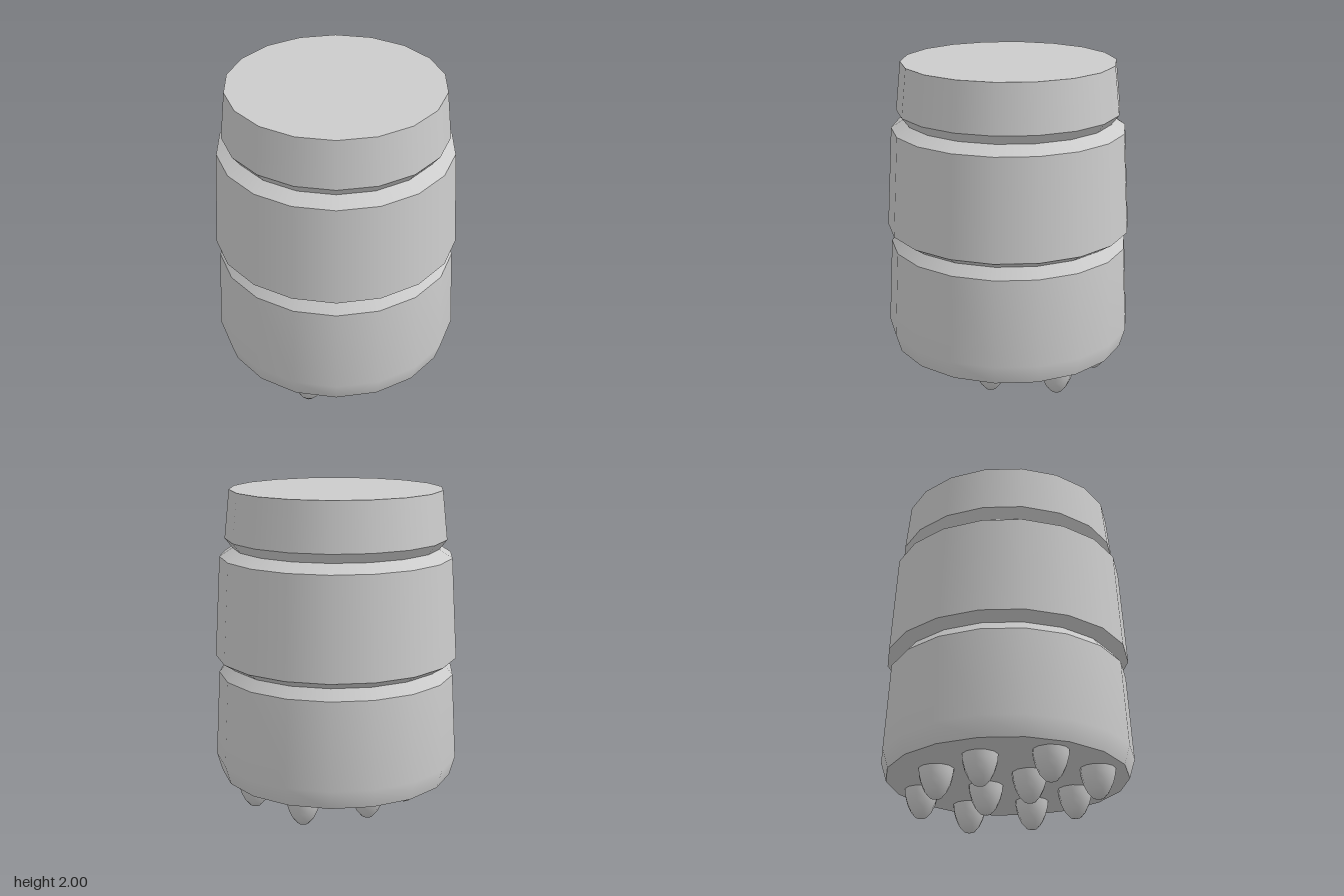
import * as THREE from 'three';

const SIDES = 18;

export function createModel() {
  const model = new THREE.Group();
  const grey = new THREE.MeshStandardMaterial({ color: 0xcccccc });

  // Each ring is its own lathe, so edges between rings stay sharp
  const ring = (parent, name, ...profile) => {
    const points = profile.map(([r, y]) => new THREE.Vector2(r, y));
    const mesh = new THREE.Mesh(new THREE.LatheGeometry(points, SIDES), grey);
    mesh.name = name;
    parent.add(mesh);
  };

  // Tapered body of three drums separated by V grooves
  const body = new THREE.Group();
  body.name = 'body';
  ring(body, 'bottomCap', [0, 0.18], [0.745, 0.18]);
  ring(body, 'lowerDrum', [0.745, 0.18], [0.78, 0.3], [0.75, 0.845]);
  ring(body, 'lowerGrooveFloor', [0.75, 0.845], [0.697, 0.91]);
  ring(body, 'lowerGrooveRoof', [0.697, 0.91], [0.77, 0.957]);
  ring(body, 'middleDrum', [0.77, 0.957], [0.732, 1.587]);
  ring(body, 'upperGrooveFloor', [0.732, 1.587], [0.65, 1.64]);
  ring(body, 'upperGrooveRoof', [0.65, 1.64], [0.697, 1.7]);
  ring(body, 'topDrum', [0.697, 1.7], [0.665, 2]);
  ring(body, 'topCap', [0.665, 2], [0, 2]);
  model.add(body);

  // Rounded studs under the base, in staggered rows of 2, 3, 3 and 2
  const studProfile = [[0, 0], [0.034, 0.003], [0.066, 0.04], [0.09, 0.09], [0.104, 0.14], [0.109, 0.19]]
    .map(([r, y]) => new THREE.Vector2(r, y));
  const studGeometry = new THREE.LatheGeometry(studProfile, 12);
  const studs = new THREE.Group();
  studs.name = 'studs';
  const rows = [[0.53, [-0.215, 0.215]], [0.18, [-0.43, 0, 0.43]]];
  for (const side of [1, -1]) {
    for (const [z, xs] of rows) {
      for (const x of xs) {
        const stud = new THREE.Mesh(studGeometry, grey);
        stud.name = 'stud';
        stud.position.set(x, 0, side * z);
        studs.add(stud);
      }
    }
  }
  model.add(studs);
  return model;
}
